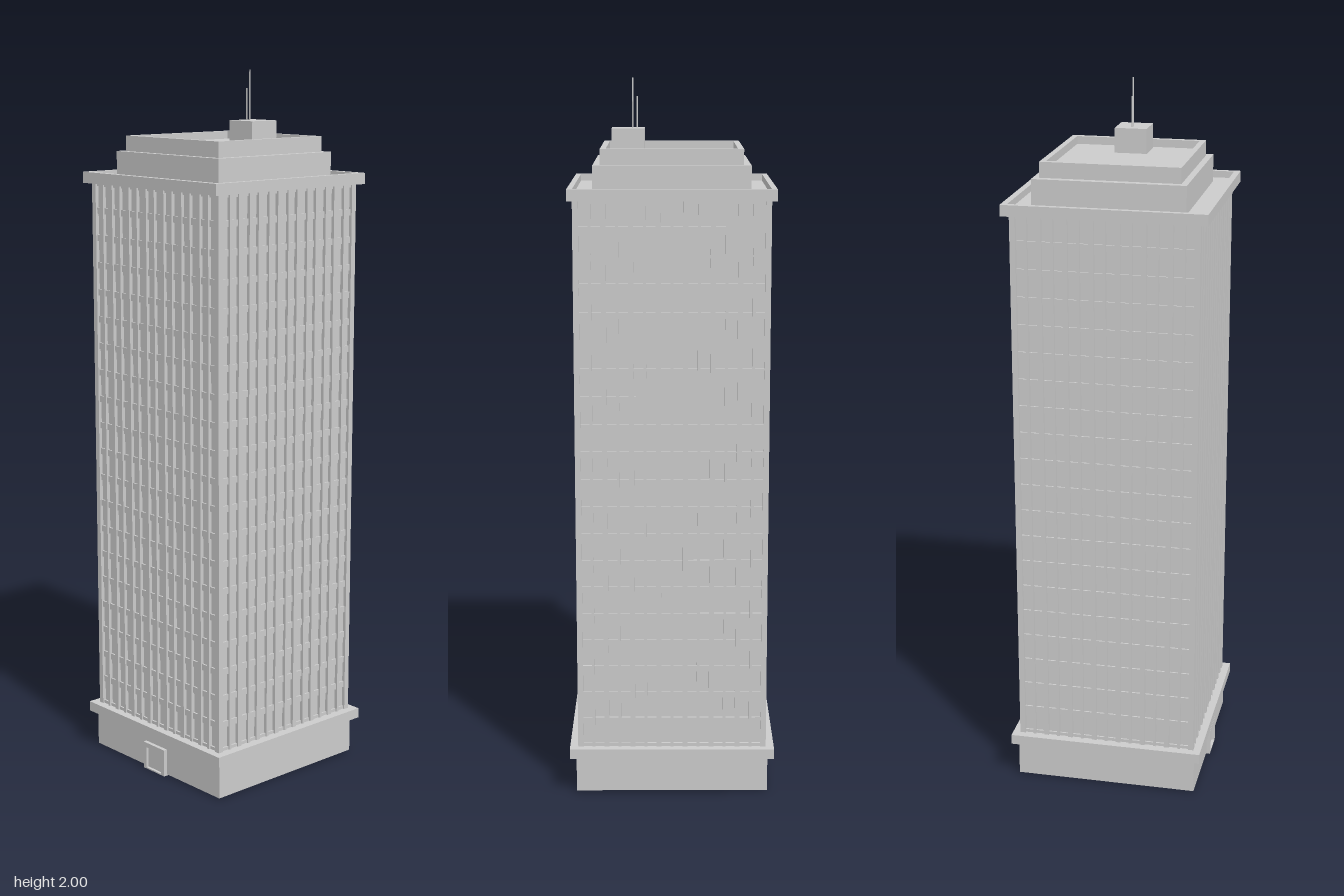
import * as THREE from 'three';
import { mergeGeometries } from 'three/addons/utils/BufferGeometryUtils.js';

const material = new THREE.MeshStandardMaterial({ color: 0xcccccc, flatShading: true });

// Box given by its x, y and z ranges
function box(x0, x1, y0, y1, z0, z1) {
  return new THREE.BoxGeometry(x1 - x0, y1 - y0, z1 - z0)
    .translate((x0 + x1) / 2, (y0 + y1) / 2, (z0 + z1) / 2);
}

// Box centred on the tower axis, given by half widths
const slab = (hx, hz, y0, y1) => box(-hx, hx, y0, y1, -hz, hz);

// Rectangular ring wall
function ring(hx, hz, ix, iz, y0, y1) {
  const shape = new THREE.Shape([[-hx, -hz], [hx, -hz], [hx, hz], [-hx, hz]].map(p => new THREE.Vector2(...p)));
  shape.holes.push(new THREE.Path([[-ix, -iz], [-ix, iz], [ix, iz], [ix, -iz]].map(p => new THREE.Vector2(...p))));
  return new THREE.ExtrudeGeometry(shape, { depth: y1 - y0, bevelEnabled: false })
    .rotateX(-Math.PI / 2).translate(0, y0, 0);
}

export function createModel() {
  const model = new THREE.Group();
  model.name = 'officeTower';
  const add = (name, ...parts) => {
    const mesh = new THREE.Mesh(parts.length > 1 ? mergeGeometries(parts) : parts[0], material);
    mesh.name = name;
    model.add(mesh);
  };

  // Ground floor and the ledge above it
  add('base', slab(0.261, 0.272, 0.004, 0.107));
  add('lowerLedge', slab(0.279, 0.29, 0.107, 0.136));

  // Entrance on the -x side: jambs, lintel, door leaf and sill
  add('entranceFrame',
    box(-0.272, -0.255, 0, 0.08, 0.033, 0.046),
    box(-0.272, -0.255, 0, 0.08, -0.046, -0.033),
    box(-0.272, -0.255, 0.066, 0.08, -0.033, 0.033));
  add('door', box(-0.264, -0.255, 0.004, 0.066, -0.033, 0.033));
  add('doorSill', box(-0.272, -0.255, 0, 0.004, -0.033, 0.033));

  // Tower shaft: recessed glass, spandrel bands and vertical piers
  const hx = 0.258, hz = 0.267, y0 = 0.136, y1 = 1.685;
  add('glassCore', slab(hx - 0.01, hz - 0.01, y0, y1));

  const floors = 20, step = (y1 - y0) / floors, bands = [];
  for (let i = 0; i <= floors; i++) {
    const y = y0 + i * step;
    bands.push(slab(hx - 0.005, hz - 0.005, Math.max(y0, y - 0.009), Math.min(y1, y + 0.009)));
  }
  add('spandrelBands', ...bands);

  const columns = 14, piers = [], corners = [];
  for (const s of [-1, 1]) {
    for (let i = 1; i < columns; i++) {
      const w = i % 2 ? 0.004 : 0.007;
      const x = (i / columns * 2 - 1) * (hx - 0.008);
      const z = (i / columns * 2 - 1) * (hz - 0.008);
      const zs = [s * hz, s * (hz - 0.012)].sort((a, b) => a - b);
      const xs = [s * hx, s * (hx - 0.012)].sort((a, b) => a - b);
      piers.push(box(x - w, x + w, y0, y1, ...zs), box(...xs, y0, y1, z - w, z + w));
    }
    for (const t of [-1, 1]) {
      const cx = s * (hx - 0.008), cz = t * (hz - 0.008);
      corners.push(box(cx - 0.008, cx + 0.008, y0, y1, cz - 0.008, cz + 0.008));
    }
  }
  add('piers', ...piers);
  add('cornerPiers', ...corners);

  // Cornice with a low parapet around a sunken terrace
  add('corniceFloor', slab(0.2615, 0.266, 1.685, 1.697));
  add('corniceParapet', ring(0.279, 0.281, 0.2615, 0.266, 1.685, 1.716));

  // Stepped crown
  add('crownTier', slab(0.21, 0.214, 1.697, 1.774));
  add('roofDeck', slab(0.176, 0.178, 1.774, 1.795));
  add('roofParapet', ring(0.192, 0.194, 0.176, 0.178, 1.774, 1.817));

  // Rooftop plant room and aerials
  add('plantRoom', box(-0.045, 0.045, 1.795, 1.864, 0.075, 0.166));
  for (const [name, z, top] of [['tallAerial', 0.108, 2], ['shortAerial', 0.096, 1.95]]) {
    add(name, new THREE.CylinderGeometry(0.002, 0.002, top - 1.864, 8).translate(0, (top + 1.864) / 2, z));
  }
  return model;
}
